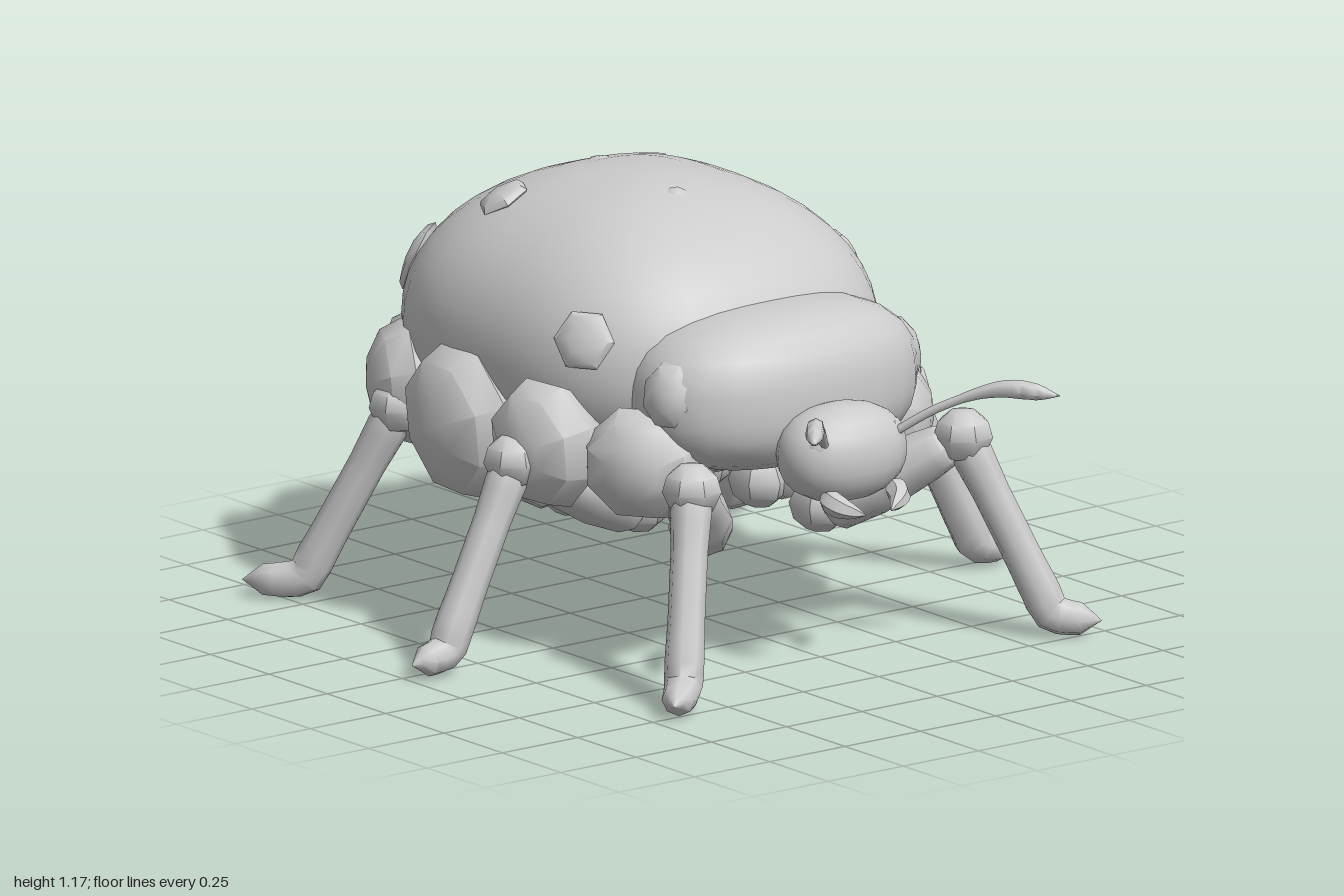
import * as THREE from 'three';
import { toCreasedNormals } from 'three/addons/utils/BufferGeometryUtils.js';

const grey = new THREE.MeshStandardMaterial({ color: 0xcccccc });
grey.name = 'grey';

const V = (a) => new THREE.Vector3(...a);

function add(parent, name, geometry) {
  const mesh = new THREE.Mesh(geometry, grey);
  mesh.name = name;
  parent.add(mesh);
  return mesh;
}

// Ellipsoid squared off by the exponent n in plan and v in elevation
function squaredEllipsoid([rx, up, down, rz], n, v, wide = 40, high = 24) {
  const g = new THREE.SphereGeometry(1, wide, high);
  const p = g.attributes.position;
  for (let i = 0; i < p.count; i++) {
    const x = p.getX(i), y = p.getY(i), z = p.getZ(i);
    const r = Math.hypot(x, z);
    const plan = r < 1e-5 ? 1 : Math.pow(Math.abs(x / r) ** n + Math.abs(z / r) ** n, -1 / n);
    const side = Math.pow(r ** v + Math.abs(y) ** v, -1 / v);
    p.setXYZ(i, x * plan * side * rx, y * side * (y > 0 ? up : down), z * plan * side * rz);
  }
  return toCreasedNormals(g, 1.2);
}

// Tube through points; radii are spread evenly along its length
function limb(points, radii, sides = 8, steps = 24) {
  const curve = new THREE.CatmullRomCurve3(points.map(V), false, 'centripetal');
  const g = new THREE.TubeGeometry(curve, steps, 1, sides);
  const p = g.attributes.position, q = new THREE.Vector3();
  for (let i = 0; i <= steps; i++) {
    const c = curve.getPointAt(i / steps);
    const s = (i / steps) * (radii.length - 1), k = Math.min(Math.floor(s), radii.length - 2);
    const r = THREE.MathUtils.lerp(radii[k], radii[k + 1], s - k);
    for (let j = 0; j <= sides; j++) {
      const id = i * (sides + 1) + j;
      q.fromBufferAttribute(p, id).sub(c).multiplyScalar(r).add(c);
      p.setXYZ(id, q.x, q.y, q.z);
    }
  }
  return toCreasedNormals(g, 0.9);
}

// Faceted pebble domed along +z, turned to face outward
function pebble(parent, name, at, out, [w, h, d], sides = 8) {
  const profile = [[0, -1], [0.7, -0.7], [1, 0], [0.85, 0.55], [0.45, 0.9], [0, 1]]
    .map(([x, y]) => new THREE.Vector2(x, y));
  const g = new THREE.LatheGeometry(profile, sides, Math.PI / sides);
  g.rotateX(Math.PI / 2);
  g.scale(w, h, d);
  const mesh = add(parent, name, toCreasedNormals(g, 0.85));
  mesh.position.set(...at);
  mesh.lookAt(V(at).add(V(out)));
  return mesh;
}

export function createModel() {
  const model = new THREE.Group();
  model.name = 'beetle';

  // Body, collar and head
  add(model, 'shell', squaredEllipsoid([0.61, 0.425, 0.39, 0.555], 2.7, 2.08)).position.set(-0.27, 0.75, 0);
  add(model, 'collar', squaredEllipsoid([0.25, 0.225, 0.2, 0.42], 2.4, 2.7, 28, 16)).position.set(0.295, 0.705, 0);
  add(model, 'head', squaredEllipsoid([0.13, 0.13, 0.13, 0.185], 2.3, 2.3, 20, 12)).position.set(0.59, 0.587, 0);

  // Rear plate
  pebble(model, 'rearPlate', [-0.87, 0.765, 0], [-1, 0.1, 0], [0.18, 0.175, 0.13]);

  // Rim plates: position, facing, size
  const rim = [
    [[-0.83, 0.57, 0.27], [-1, -0.1, 0.45], [0.18, 0.165, 0.12]],
    [[-0.66, 0.585, 0.46], [-0.6, -0.1, 1], [0.18, 0.17, 0.12]],
    [[-0.33, 0.56, 0.53], [-0.1, -0.1, 1], [0.22, 0.215, 0.14]],
    [[0.02, 0.575, 0.53], [0.1, -0.1, 1], [0.175, 0.18, 0.13]],
    [[0.26, 0.55, 0.4], [0.7, -0.1, 1], [0.17, 0.16, 0.13]],
    [[0.345, 0.745, 0.37], [0.5, 0.2, 1], [0.085, 0.1, 0.065]],
  ];
  // Legs: hip, knee, ankle, toe
  const legs = [
    ['front', [0.24, 0.31, 0.18], [0.53, 0.54, 0.45], [0.7, 0.07, 0.61], [0.79, 0.05, 0.71]],
    ['middle', [-0.02, 0.32, 0.18], [0.01, 0.54, 0.64], [0.03, 0.07, 0.88], [0.04, 0.05, 1.0]],
    ['back', [-0.29, 0.31, 0.2], [-0.61, 0.54, 0.54], [-0.79, 0.07, 0.71], [-0.92, 0.05, 0.82]],
  ];

  for (const s of [1, -1]) {
    const m = ([x, y, z]) => [x, y, z * s];
    const side = new THREE.Group();
    side.name = s > 0 ? 'nearSide' : 'farSide';
    model.add(side);

    for (const [at, out, size] of rim) pebble(side, 'rimPlate', m(at), m(out), size);

    for (const [name, hip, knee, ankle, toe] of legs) {
      const leg = new THREE.Group();
      leg.name = name + 'Leg';
      side.add(leg);
      add(leg, 'thigh', limb([m(hip), m(knee)],
        [0, 0.075, 0.08, 0.085, 0.08, 0.075, 0.07, 0.06, 0], 8, 16));
      // Extra point keeps the shin straight down to the ankle
      const shinEnd = V(knee).lerp(V(ankle), 0.9).toArray();
      add(leg, 'shin', limb([m(knee), m(shinEnd), m(ankle), m(toe)],
        [0.05, 0.056, 0.053, 0.05, 0.05, 0.05, 0.05, 0.051, 0.053, 0.053, 0.05, 0.044, 0]));
      pebble(leg, 'knee', m(knee), [0, 1, 0], [0.082, 0.08, 0.075], 7);
      pebble(leg, 'hip', m([hip[0], hip[1] + 0.03, hip[2] + 0.02]), [0, -1, 0], [0.09, 0.08, 0.08], 6);
    }

    // Face: eye, jaw and clubbed antenna
    pebble(side, 'eye', m([0.655, 0.63, 0.125]), m([0.8, 0.2, 0.7]), [0.04, 0.045, 0.025], 6);
    add(side, 'jaw', limb([m([0.64, 0.5, 0.11]), m([0.71, 0.475, 0.1]), m([0.75, 0.45, 0.04])],
      [0, 0.032, 0.03, 0.02, 0], 6, 10));
    add(side, 'antenna', limb(
      [m([0.65, 0.62, 0.1]), m([0.76, 0.71, 0.2]), m([0.88, 0.765, 0.31]), m([1.0, 0.755, 0.41])],
      [0.012, 0.012, 0.012, 0.012, 0.012, 0.016, 0.022, 0.026, 0.022, 0], 7));
  }

  // Shell spots, scattered unevenly
  const spots = [
    [[-0.6, 1.055, -0.3], 0.075], [[-0.47, 1.095, 0.3], 0.075], [[-0.05, 0.905, -0.5], 0.075],
    [[0.1, 0.86, 0.475], 0.085], [[-0.78, 0.88, 0.34], 0.1], [[-0.78, 0.88, -0.34], 0.1],
    [[-0.47, 1.13, -0.02], 0.05], [[-0.08, 1.133, 0.03], 0.04],
  ];
  for (const [at, r] of spots) {
    const out = [(at[0] + 0.27) / 0.37, (at[1] - 0.75) / 0.18, at[2] / 0.31];
    pebble(model, 'spot', at, out, [r, r, 0.03], 6);
  }
  return model;
}
